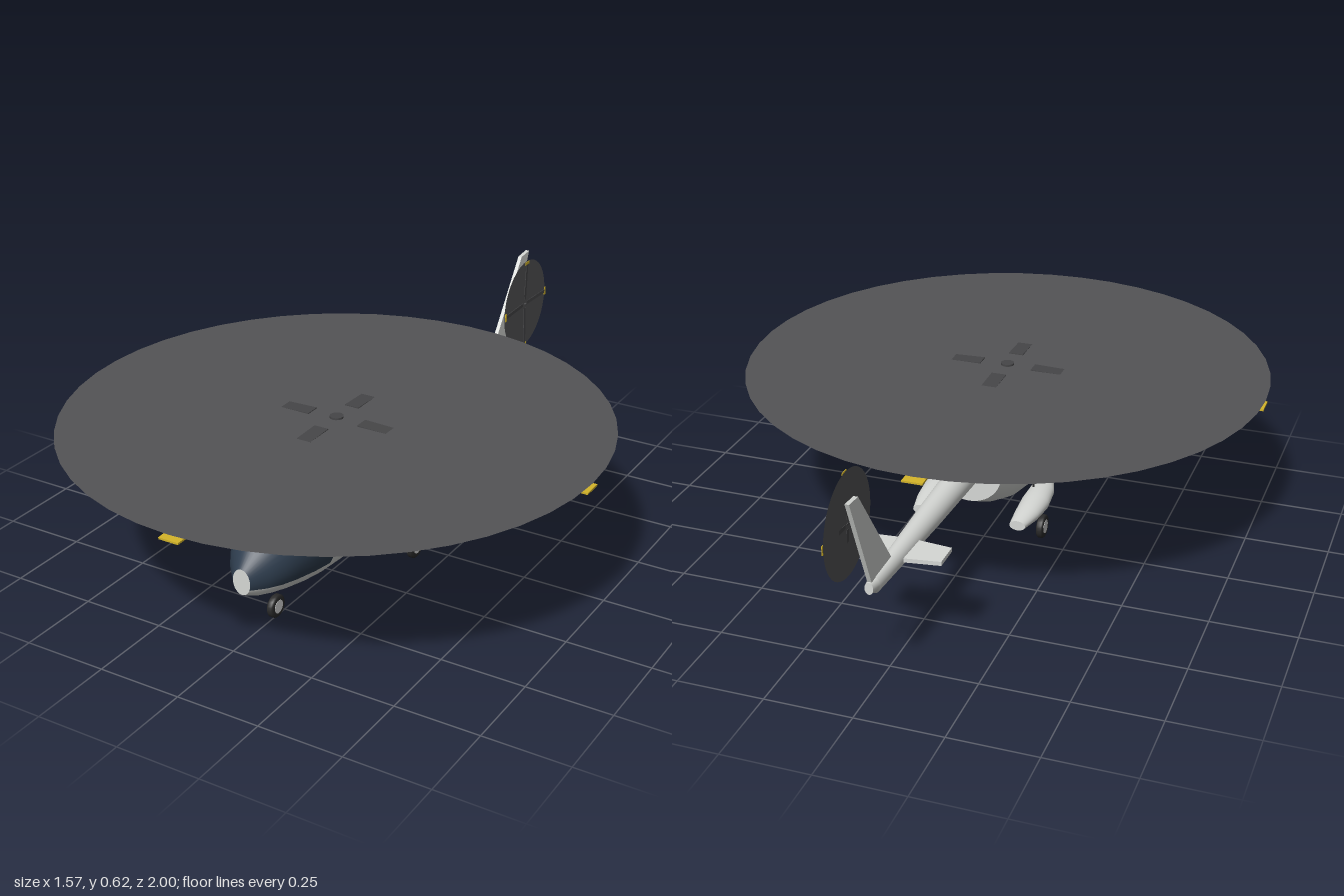
import * as THREE from 'three';

const mat = (name, color, side = THREE.FrontSide) => {
  const m = new THREE.MeshStandardMaterial({ color, side });
  m.name = name;
  return m;
};

// Cross-section stations: [z, bottom, top, half width, centre x]
const HULL = [
  [0.70, 0.15, 0.228, 0.028], [0.66, 0.13, 0.275, 0.065], [0.62, 0.118, 0.31, 0.09],
  [0.57, 0.105, 0.35, 0.11], [0.5, 0.09, 0.39, 0.128], [0.435, 0.08, 0.41, 0.137],
  [0.3, 0.07, 0.417, 0.141], [0.15, 0.08, 0.415, 0.141], [0.05, 0.105, 0.41, 0.138],
  [-0.05, 0.145, 0.4, 0.125], [-0.135, 0.19, 0.375, 0.1],
];
const COWL = [
  [0.33, 0.38, 0.4, 0.02], [0.25, 0.37, 0.42, 0.06], [0.15, 0.365, 0.438, 0.08],
  [0, 0.36, 0.437, 0.085], [-0.1, 0.362, 0.42, 0.075], [-0.17, 0.37, 0.403, 0.05],
];
const BOOM = [
  [-0.1, 0.25, 0.342, 0.045], [-0.45, 0.262, 0.336, 0.036], [-0.7, 0.272, 0.331, 0.026],
  [-0.84, 0.277, 0.328, 0.019], [-0.842, 0.288, 0.326, 0.017], [-0.872, 0.29, 0.325, 0.012],
];
const POD = [
  [0.22, 0.133, 0.142, 0.006, 0.135], [0.17, 0.119, 0.152, 0.024, 0.143],
  [0.1, 0.107, 0.161, 0.037, 0.152], [0.02, 0.101, 0.163, 0.042, 0.155],
  [-0.06, 0.107, 0.157, 0.036, 0.154], [-0.135, 0.118, 0.148, 0.024, 0.15],
];

// Smooth closed skin through elliptical stations, with flat ends.
// Every ring is divided at height split(z); rings ahead of glassZ are glazed above it.
function loft(stations, { half = 16, split = null, glassZ = Infinity, mirror = 1 } = {}) {
  const n = half * 2, pos = [], body = [], glass = [];
  for (const [z, yb, yt, hw, cx = 0] of stations) {
    const cy = (yb + yt) / 2, ry = (yt - yb) / 2;
    const s = split ? Math.asin(THREE.MathUtils.clamp((split(z) - cy) / ry, -0.8, 0)) : 0;
    for (let j = 0; j < n; j++) {
      const a = j < half
        ? s + (j / half) * (Math.PI - 2 * s)
        : Math.PI - s + ((j - half) / half) * (Math.PI + 2 * s);
      pos.push(cx * mirror + hw * Math.cos(a), cy + ry * Math.sin(a), z);
    }
  }
  for (let i = 0; i < stations.length - 1; i++) {
    for (let j = 0; j < n; j++) {
      const a = i * n + j, b = i * n + (j + 1) % n, c = a + n, d = b + n;
      const glazed = stations[i + 1][0] >= glassZ && j < half;
      (glazed ? glass : body).push(a, c, b, b, c, d);
    }
  }
  for (const i of [0, stations.length - 1]) {
    const base = pos.length / 3;
    pos.push(...pos.slice(i * n * 3, (i + 1) * n * 3));
    for (let j = 1; j < n - 1; j++) {
      if (i === 0) body.push(base, base + j, base + j + 1);
      else body.push(base, base + j + 1, base + j);
    }
  }
  const g = new THREE.BufferGeometry();
  g.setAttribute('position', new THREE.Float32BufferAttribute(pos, 3));
  g.setIndex([...body, ...glass]);
  g.addGroup(0, body.length, 0);
  g.addGroup(body.length, glass.length, 1);
  g.computeVertexNormals();
  return g;
}

// Half width of the hull at a given z and y
function hullX(z, y) {
  const i = HULL.findIndex((s, k) => k > 0 && s[0] <= z);
  const t = (HULL[i - 1][0] - z) / (HULL[i - 1][0] - HULL[i][0]);
  const [, yb, yt, hw] = HULL[i - 1].map((v, k) => THREE.MathUtils.lerp(v, HULL[i][k], t));
  return hw * Math.sqrt(1 - ((y - (yb + yt) / 2) / ((yt - yb) / 2)) ** 2);
}

const plate = (points, depth) => new THREE.ExtrudeGeometry(
  new THREE.Shape(points.map(p => new THREE.Vector2(...p))), { depth, bevelEnabled: false }
).translate(0, 0, -depth / 2);

export function createModel() {
  const model = new THREE.Group();
  model.name = 'helicopter';
  const paint = mat('light grey paint', 0xd6d8d5);
  const glass = mat('dark blue glass', 0x2e3d4e);
  const disc = mat('rotor disc grey', 0x545456, THREE.DoubleSide);
  const blade = mat('blade grey', 0x464648);
  const yellow = mat('yellow tip', 0xd4b429);
  const tyre = mat('tyre black', 0x2a2a2a);
  const rim = mat('wheel rim grey', 0xcfcfcf);

  const add = (name, geometry, material, parent = model) => {
    const m = new THREE.Mesh(geometry, material);
    m.name = name;
    parent.add(m);
    return m;
  };

  // Body
  const sill = z => 0.15 + 0.02 * THREE.MathUtils.clamp((z - 0.435) / 0.265, 0, 1);
  add('fuselage', loft(HULL, { half: 24, split: sill, glassZ: 0.435 }), [paint, glass]);
  add('engineCowl', loft(COWL), paint);
  add('tailBoom', loft(BOOM), paint);

  for (const s of [1, -1]) {
    // Side window following the hull
    const win = new THREE.PlaneGeometry(0.125, 0.125, 6, 6);
    const p = win.attributes.position;
    for (let i = 0; i < p.count; i++) {
      const z = 0.318 - s * p.getX(i), y = 0.282 + p.getY(i);
      p.setXYZ(i, s * (hullX(z, y) + 0.004), y, z);
    }
    win.computeVertexNormals();
    add('sideWindow', win, glass);

    add('sponson', loft(POD, { mirror: s }), paint);
    add('sideStrut', new THREE.CylinderGeometry(0.003, 0.003, 0.16, 8), tyre)
      .position.set(s * 0.137, 0.243, 0.06);
  }

  // Wheels
  for (const [name, x, z, r] of [['noseWheel', 0, 0.543, 0.034],
    ['leftWheel', 0.167, 0.057, 0.036], ['rightWheel', -0.167, 0.057, 0.036]]) {
    const wheel = new THREE.Group();
    wheel.name = name;
    wheel.position.set(x, r, z);
    wheel.rotation.z = Math.PI / 2;
    const w = 0.01, b = 0.004;
    const profile = [[0, -w + 0.001], [r * 0.6, -w], [r - b, -w], [r, -w + b], [r, w - b], [r - b, w],
      [r * 0.6, w], [0, w - 0.001]].map(q => new THREE.Vector2(...q));
    add('tyre', new THREE.LatheGeometry(profile, 24), tyre, wheel);
    add('rim', new THREE.CylinderGeometry(r * 0.58, r * 0.58, w * 2 + 0.002, 20), rim, wheel);
    model.add(wheel);
  }

  // Tail surfaces
  add('tailFin', plate([[0.73, 0.32], [0.865, 0.32], [0.985, 0.605], [0.93, 0.6]], 0.012), paint)
    .rotation.y = Math.PI / 2;
  add('stabilizer', plate([[0, 0.595], [0.125, 0.607], [0.125, 0.686], [0, 0.705],
    [-0.125, 0.686], [-0.125, 0.607]], 0.012), paint).rotation.x = -Math.PI / 2;
  model.getObjectByName('stabilizer').position.y = 0.302;

  // Spinning disc with four drooping blades; local y is the rotor axis
  function rotor(name, o) {
    const g = new THREE.Group();
    g.name = name;
    add('rotorDisc', new THREE.CircleGeometry(o.radius, 48).rotateX(-Math.PI / 2), disc, g);
    add('rotorHub', new THREE.CylinderGeometry(o.hub, o.hub, o.hub * 1.4, 16), blade, g)
      .position.y = -o.hub * 0.4;
    const span = o.radius - o.root;
    for (let k = 0; k < 4; k++) {
      const arm = new THREE.Group();
      arm.name = 'rotorBlade';
      arm.rotation.order = 'YXZ';
      arm.rotation.set(0, k * Math.PI / 2, -o.droop);
      arm.position.set(o.root * Math.cos(k * Math.PI / 2), 0, -o.root * Math.sin(k * Math.PI / 2));
      add('blade', new THREE.BoxGeometry(span - o.tip, o.thick, o.width), blade, arm)
        .position.x = (span - o.tip) / 2;
      add('bladeTip', new THREE.BoxGeometry(o.tip, o.thick * 1.1, o.tipWidth), yellow, arm)
        .position.x = span - o.tip / 2;
      g.add(arm);
    }
    model.add(g);
    return g;
  }
  rotor('mainRotor', { radius: 0.785, root: 0.08, hub: 0.02, droop: 0.027, thick: 0.005,
    width: 0.045, tip: 0.04, tipWidth: 0.06 }).position.set(0, 0.479, 0.215);
  const tail = rotor('tailRotor', { radius: 0.147, root: 0.015, hub: 0.004, droop: 0.027,
    thick: 0.002, width: 0.012, tip: 0.009, tipWidth: 0.026 });
  tail.position.set(0.061, 0.472, -0.852);
  tail.rotation.z = Math.PI / 2;

  // Rotor mast
  add('rotorMast', new THREE.CylinderGeometry(0.008, 0.008, 0.06, 12), paint)
    .position.set(0, 0.435, 0.215);

  return model;
}
